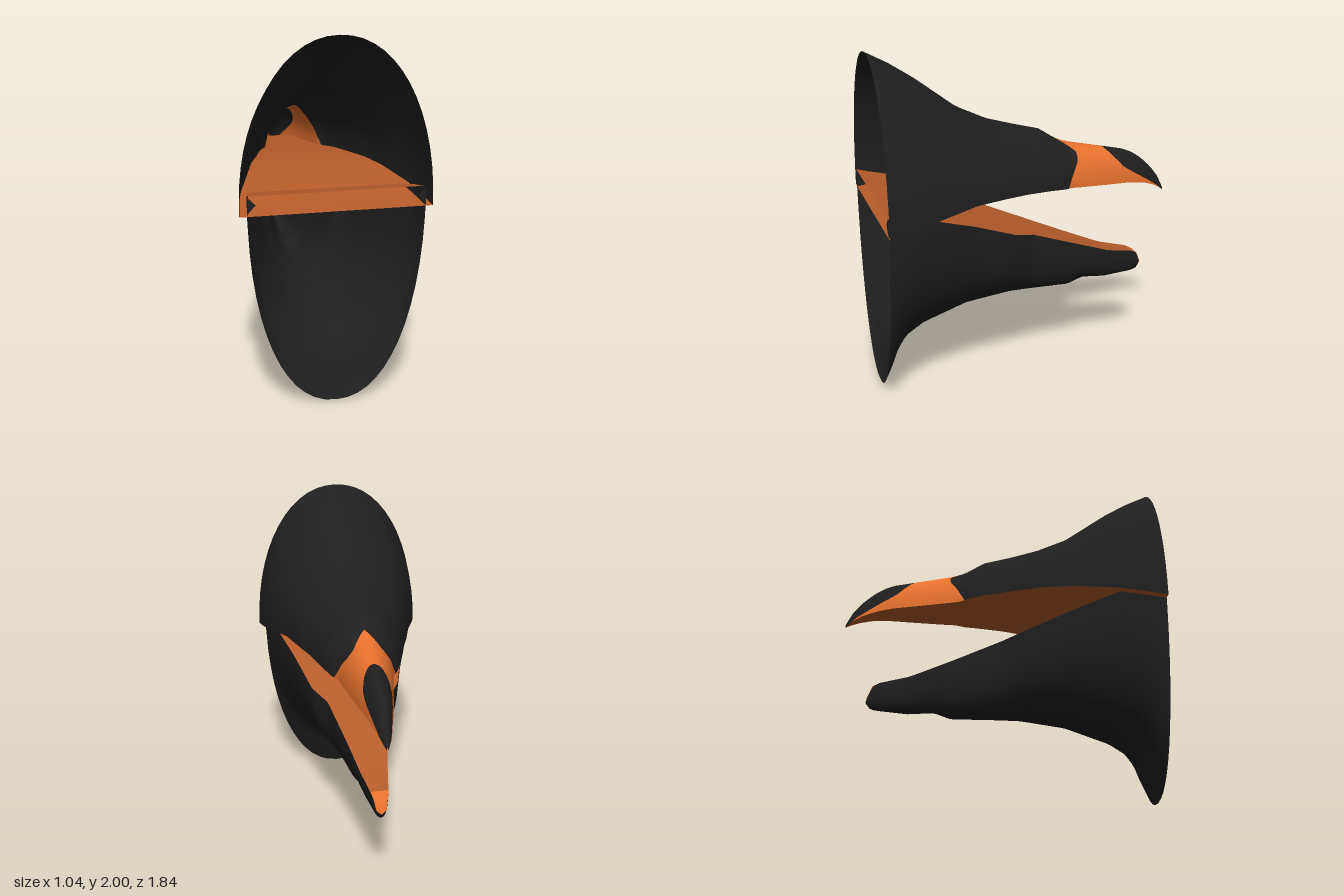
import * as THREE from 'three';

const material = (name, color) => {
  const m = new THREE.MeshStandardMaterial({ color, side: THREE.DoubleSide });
  m.name = name;
  return m;
};
const dark = material('charcoal', 0x1f1f1f);
const orange = material('orange', 0xec742f);
const brown = material('burntOrange', 0xb65c2a);

// Stations: [z, ridge y, rim y, half width, roundness]
const upperJaw = [
  [0.92, 2.0, 1.08, 0.52, 2.1], [0.78, 1.925, 1.105, 0.5, 2.1], [0.65, 1.84, 1.135, 0.468, 2.1],
  [0.4, 1.65, 1.175, 0.387, 2.1], [0.22, 1.565, 1.18, 0.337, 2.1], [0.06, 1.52, 1.175, 0.28, 2.05],
  [-0.1, 1.48, 1.165, 0.233, 2], [-0.2, 1.415, 1.153, 0.197, 2], [-0.25, 1.395, 1.147, 0.164, 2],
  [-0.3, 1.382, 1.142, 0.154, 2], [-0.5, 1.34, 1.127, 0.115, 2], [-0.64, 1.31, 1.118, 0.088, 2],
  [-0.7, 1.285, 1.11, 0.074, 2], [-0.76, 1.245, 1.098, 0.058, 2], [-0.83, 1.18, 1.075, 0.042, 2],
  [-0.88, 1.115, 1.05, 0.027, 2], [-0.92, 1.035, 1.02, 0.005, 2],
];
const lowerJaw = [
  [0.92, 1.19, 0, 0.48, 2.2], [0.88, 1.18, 0.09, 0.475, 2.2], [0.84, 1.17, 0.21, 0.469, 2.2],
  [0.78, 1.16, 0.3, 0.46, 2.2], [0.67, 1.135, 0.363, 0.43, 2.1], [0.4, 1.04, 0.45, 0.345, 2.1],
  [0.13, 0.93, 0.483, 0.268, 2.2], [0, 0.89, 0.479, 0.19, 2.4], [-0.28, 0.78, 0.467, 0.128, 2.2],
  [-0.38, 0.742, 0.5, 0.108, 2.1], [-0.53, 0.685, 0.485, 0.08, 2.1], [-0.7, 0.65, 0.497, 0.052, 2.1],
  [-0.74, 0.63, 0.502, 0.042, 2.1], [-0.77, 0.565, 0.52, 0.028, 2.1], [-0.776, 0.545, 0.54, 0.004, 2],
].map(([z, rim, keel, w, n]) => [z, keel, rim, w, n]);

// Linear lookup in rows sorted by their first value, in either direction
function lookup(rows, v) {
  const dir = Math.sign(rows[1][0] - rows[0][0]);
  let i = 1;
  while (i < rows.length - 1 && (v - rows[i][0]) * dir > 0) i++;
  const a = rows[i - 1], b = rows[i];
  const t = THREE.MathUtils.clamp((v - a[0]) / (b[0] - a[0]), 0, 1);
  return a.map((x, k) => x + (b[k] - x) * t);
}

// Smooth surface from a grid of points
function gridMesh(name, mat, rows, cols, pointAt) {
  const pos = [], index = [];
  for (let r = 0; r <= rows; r++) {
    for (let c = 0; c <= cols; c++) pos.push(...pointAt(r / rows, c / cols));
  }
  for (let r = 0; r < rows; r++) {
    for (let c = 0; c < cols; c++) {
      const a = r * (cols + 1) + c, b = a + cols + 1;
      index.push(a, a + 1, b, b, a + 1, b + 1);
    }
  }
  const g = new THREE.BufferGeometry();
  g.setAttribute('position', new THREE.Float32BufferAttribute(pos, 3));
  g.setIndex(index);
  g.computeVertexNormals();
  const mesh = new THREE.Mesh(g, mat);
  mesh.name = name;
  return mesh;
}

// Arched shell; start and end z depend on s, 0 at the ridge and 1 at the rim
function shell(name, mat, stations, start, end, rows) {
  return gridMesh(name, mat, rows, 28, (u, v) => {
    const s = Math.abs(v * 2 - 1), ang = v * Math.PI;
    const z = THREE.MathUtils.lerp(start(s), end(s), u);
    const [, ridge, rim, w, n] = lookup(stations, z);
    const cx = Math.cos(ang), sy = Math.max(0, Math.sin(ang));
    return [
      w * Math.sign(cx) * Math.abs(cx) ** (2 / n),
      rim + (ridge - rim) * sy ** (2 / n),
      z,
    ];
  });
}

// Flat mouth lining stretched between the two rims
function lining(name, mat, stations) {
  return gridMesh(name, mat, stations.length - 1, 2, (u, v) => {
    const [z, , rim, w] = stations[Math.round(u * (stations.length - 1))];
    return [w * (1 - 2 * v), rim, z];
  });
}

export function createModel() {
  const model = new THREE.Group();
  model.name = 'openBeak';

  // Scalloped feather edge and hooked tip boundary
  const featherEnd = s => lookup([[0, -0.19], [0.18, -0.25], [0.36, -0.305], [0.55, -0.305], [0.8, -0.26], [1, -0.225]], s)[1];
  const tipStart = s => lookup([[0, -0.5], [0.2, -0.515], [0.43, -0.56], [0.66, -0.62], [0.76, -0.68], [0.86, -0.78], [0.93, -0.86], [1, -0.915]], s)[1];

  // Upper jaw
  const upper = new THREE.Group();
  upper.name = 'upperJaw';
  upper.add(
    shell('upperFeathers', dark, upperJaw, () => 0.92, featherEnd, 40),
    shell('upperBill', orange, upperJaw, featherEnd, tipStart, 24),
    shell('billTip', dark, upperJaw, tipStart, () => -0.92, 20),
    lining('palate', brown, upperJaw),
  );

  // Lower jaw, with an orange tip on the mouth floor
  const lower = new THREE.Group();
  lower.name = 'lowerJaw';
  lower.add(
    shell('lowerFeathers', dark, lowerJaw, () => 0.92, () => -0.776, 70),
    lining('mouthFloor', brown, lowerJaw.slice(0, -3)),
    lining('mouthFloorTip', orange, lowerJaw.slice(-4)),
  );

  // Small dark gussets at the mouth corners
  for (const side of [-1, 1]) {
    const corner = new THREE.Shape([[0.48, 1.09], [0.48, 1.185], [0.435, 1.14]].map(([x, y]) => new THREE.Vector2(side * x, y)));
    const gusset = new THREE.Mesh(new THREE.ShapeGeometry(corner), dark);
    gusset.name = side > 0 ? 'leftMouthCorner' : 'rightMouthCorner';
    gusset.position.z = 0.92;
    lower.add(gusset);
  }

  model.add(upper, lower);
  return model;
}
